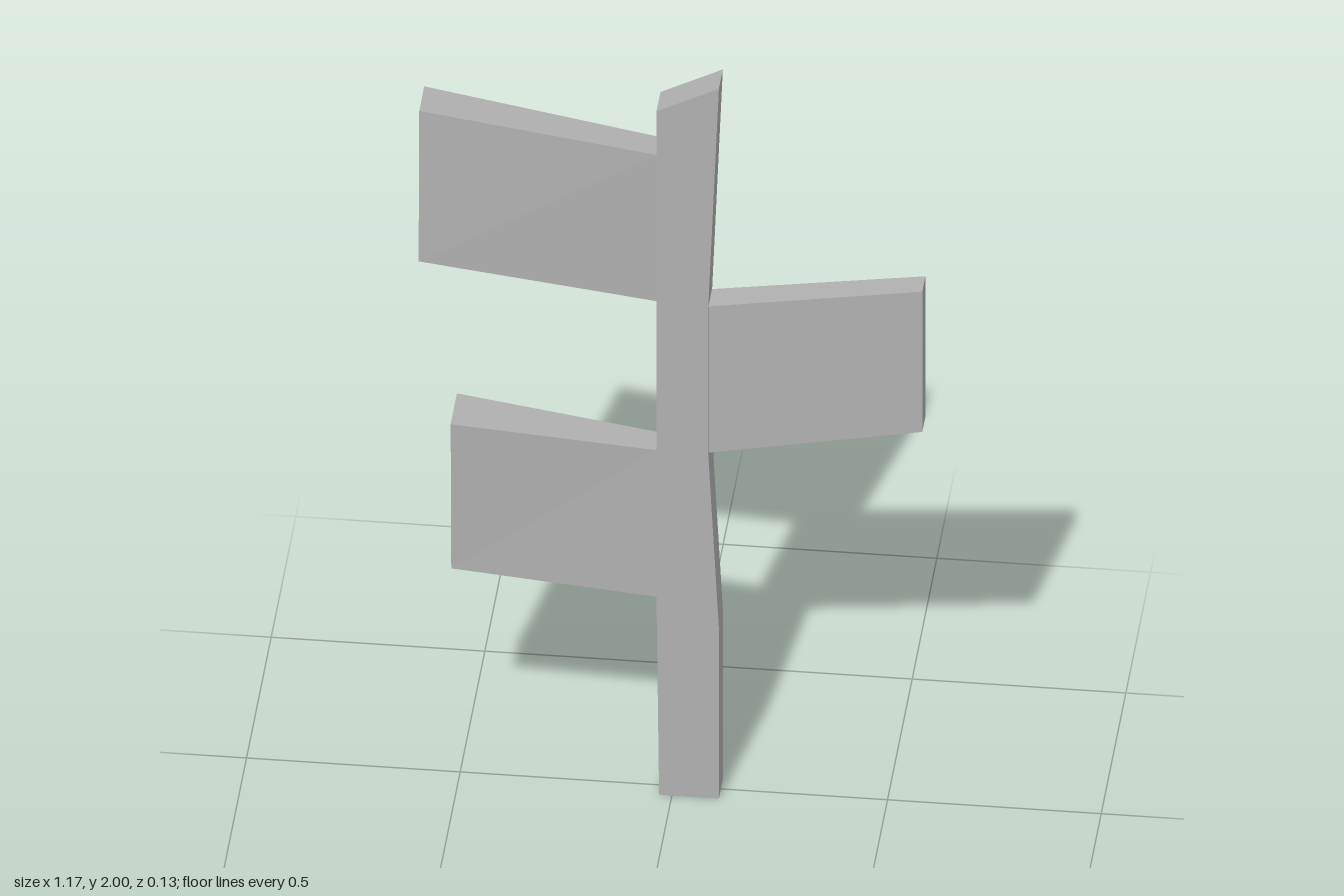
import * as THREE from 'three';

// Slab from a counter-clockwise outline; each corner is [x, y, half thickness]
function slab(name, corners, material) {
  const outline = corners.map(([x, y]) => new THREE.Vector2(x, y));
  const pos = [];
  const put = (i, side) => pos.push(corners[i][0], corners[i][1], side * corners[i][2]);

  // front and back faces
  for (const [a, b, c] of THREE.ShapeUtils.triangulateShape(outline, [])) {
    put(a, 1); put(b, 1); put(c, 1);
    put(c, -1); put(b, -1); put(a, -1);
  }
  // rim
  for (let i = 0; i < corners.length; i++) {
    const j = (i + 1) % corners.length;
    put(i, 1); put(i, -1); put(j, -1);
    put(i, 1); put(j, -1); put(j, 1);
  }

  const geometry = new THREE.BufferGeometry();
  geometry.setAttribute('position', new THREE.Float32BufferAttribute(pos, 3));
  geometry.computeVertexNormals();
  const mesh = new THREE.Mesh(geometry, material);
  mesh.name = name;
  return mesh;
}

export function createModel() {
  const group = new THREE.Group();
  group.name = 'bladedPost';
  const grey = new THREE.MeshStandardMaterial({ color: 0xb0b0b0, flatShading: true });
  grey.name = 'grey';

  // Upright post with slanted tip and a slightly waisted edge
  const d = 0.04;
  group.add(slab('post', [
    [-0.03, 0, d], [0.11, 0, d], [0.11, 0.48, d], [0.085, 0.97, d],
    [0.085, 1.38, d], [0.11, 2, d], [-0.036, 1.925, d], [-0.036, 0.55, d],
  ], grey));

  // Side blades, the two right ones flaring in thickness outwards
  group.add(slab('upperRightBlade', [
    [-0.59, 1.475, 0.064], [-0.036, 1.388, 0.037], [-0.036, 1.8, 0.037], [-0.59, 1.89, 0.051],
  ], grey));
  group.add(slab('lowerRightBlade', [
    [-0.515, 0.607, 0.051], [-0.036, 0.555, 0.037], [-0.036, 0.968, 0.037], [-0.515, 1.022, 0.064],
  ], grey));
  group.add(slab('leftBlade', [
    [0.085, 0.97, 0.036], [0.585, 1.065, 0.032], [0.585, 1.46, 0.032], [0.085, 1.382, 0.036],
  ], grey));

  return group;
}
